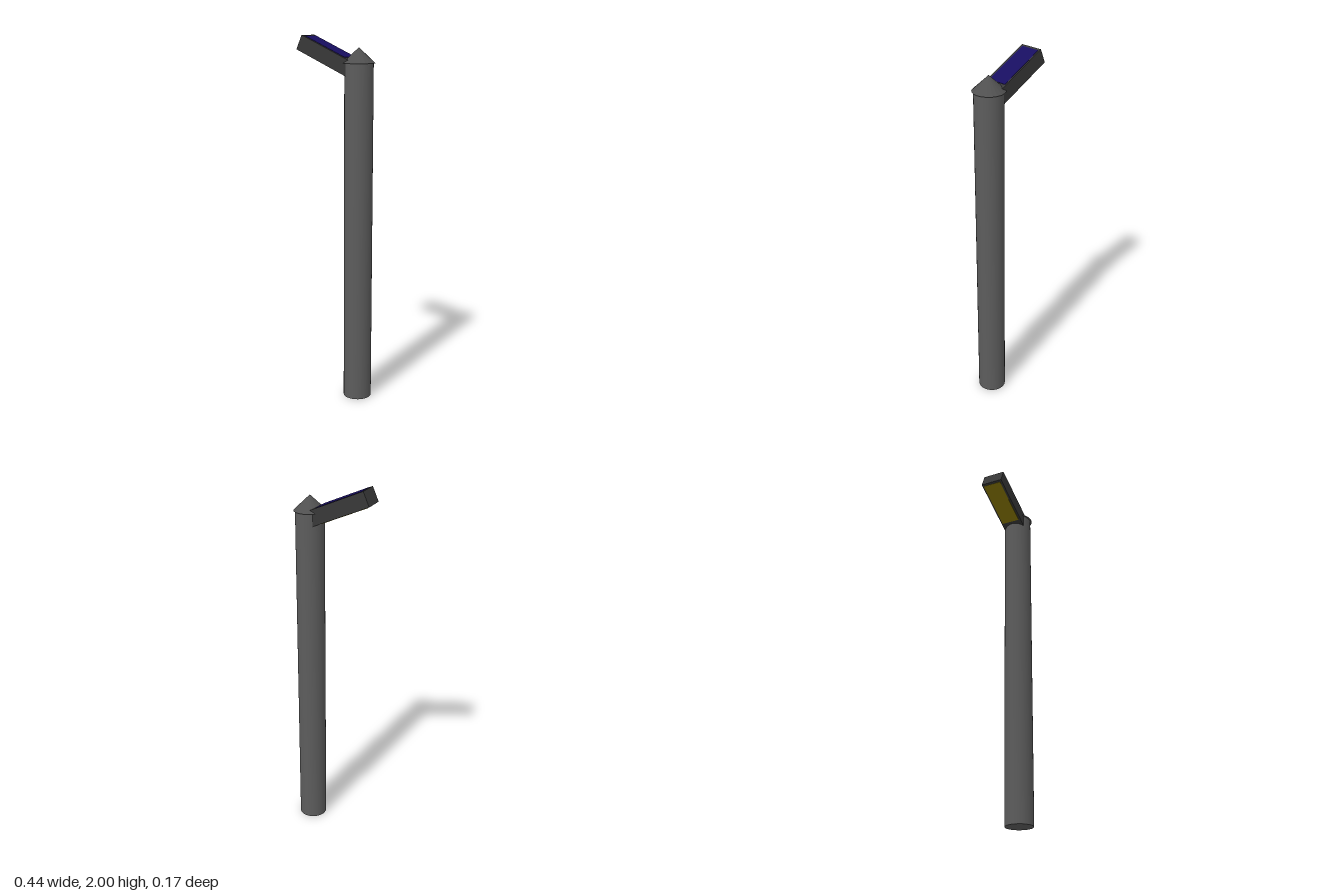
import * as THREE from 'three';

const POLE_X = 0.134;
const HEAD = { length: 0.35, height: 0.083, width: 0.124, tilt: -0.41 };

function addPart(parent, name, geometry, color, x, y, z, flatShading = false) {
  const mesh = new THREE.Mesh(geometry, new THREE.MeshStandardMaterial({ color, flatShading }));
  mesh.name = name;
  mesh.position.set(x, y, z);
  parent.add(mesh);
  return mesh;
}

export function createModel() {
  const model = new THREE.Group();
  model.name = 'solarStreetLamp';

  // Round pole with a pointed cap
  addPart(model, 'pole', new THREE.CylinderGeometry(0.077, 0.077, 1.858, 32), 0x5c5c5c, POLE_X, 0.929, 0);
  addPart(model, 'poleCap', new THREE.ConeGeometry(0.087, 0.082, 20), 0x505050, POLE_X - 0.001, 1.896, 0, true);

  // Tilted lamp head: local origin at the upper outer edge, +x runs down towards the pole
  const head = new THREE.Group();
  head.name = 'lampHead';
  head.position.set(-0.188, 1.999, 0);
  head.rotation.z = HEAD.tilt;
  model.add(head);

  addPart(head, 'housing', new THREE.BoxGeometry(HEAD.length, HEAD.height, HEAD.width), 0x383838,
    HEAD.length / 2, -HEAD.height / 2, 0);

  // Solar panel on top, light panel underneath
  addPart(head, 'solarPanel', new THREE.BoxGeometry(0.274, 0.004, 0.105), 0x180e60, 0.15, 0, -0.002);
  addPart(head, 'lightPanel', new THREE.BoxGeometry(0.274, 0.004, 0.105), 0x8a7800, 0.15, -HEAD.height, -0.002);

  return model;
}
